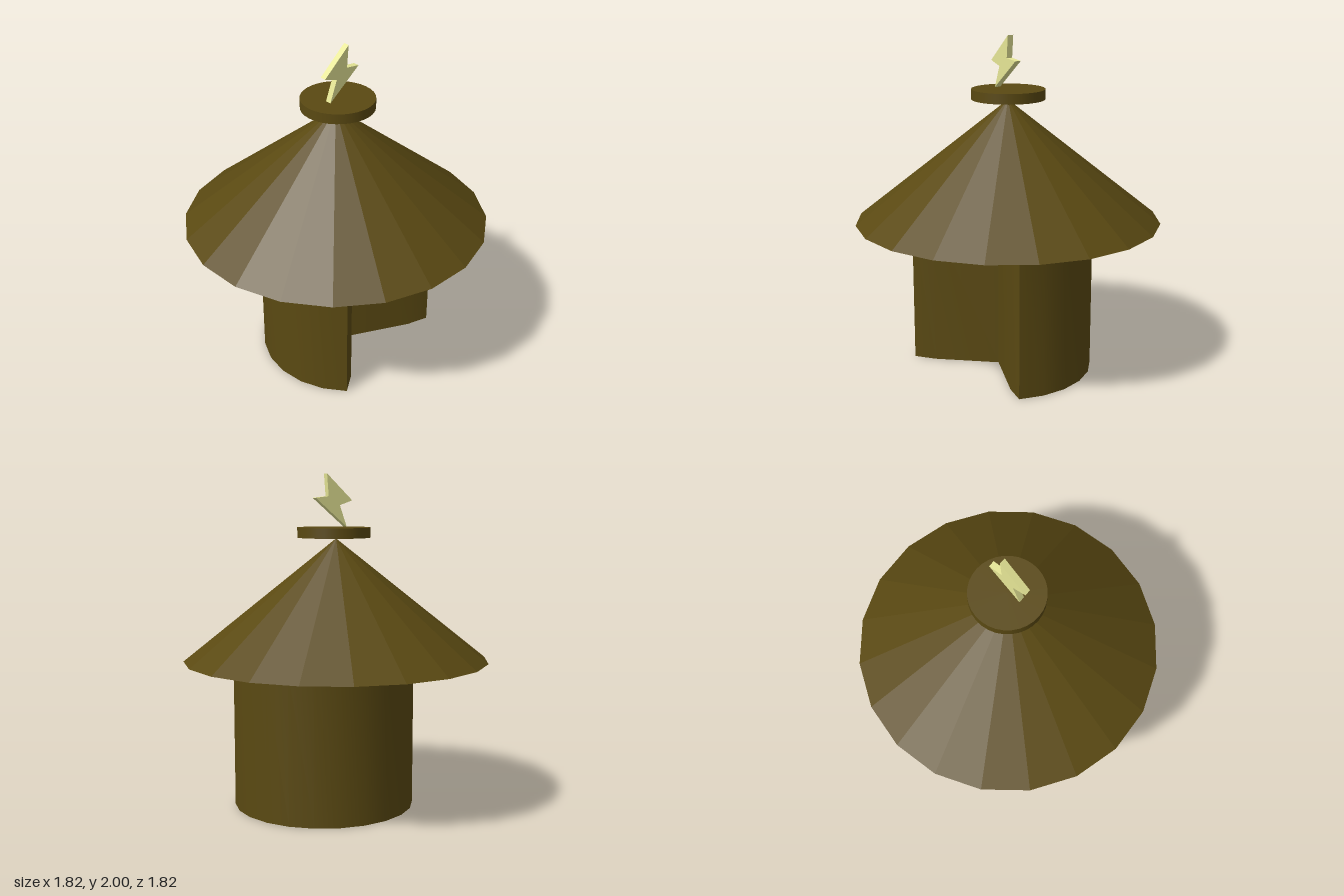
import * as THREE from 'three';
import { toCreasedNormals } from 'three/addons/utils/BufferGeometryUtils.js';

const brown = new THREE.MeshStandardMaterial({ color: 0x5a4912 });
const yellow = new THREE.MeshStandardMaterial({ color: 0xe6e696 });

function addPart(group, name, geometry, material, x = 0, y = 0, z = 0) {
  const mesh = new THREE.Mesh(geometry, material);
  mesh.name = name;
  mesh.position.set(x, y, z);
  group.add(mesh);
  return mesh;
}

// Round wall with a wedge-shaped entrance cut out at the front
function wallGeometry() {
  const radius = 0.545, start = -0.616, end = Math.PI + 0.616, steps = 16;
  const points = [];
  for (let i = 0; i <= steps; i++) {
    const a = start + ((end - start) * i) / steps;
    points.push(new THREE.Vector2(radius * Math.cos(a), radius * Math.sin(a)));
  }
  // entrance sides, meeting near the middle
  for (const [x, y] of [[-0.32, -0.255], [0, -0.025], [0.32, -0.255]]) points.push(new THREE.Vector2(x, y));
  const geometry = new THREE.ExtrudeGeometry(new THREE.Shape(points), { depth: 0.895, bevelEnabled: false });
  geometry.rotateX(-Math.PI / 2);
  return toCreasedNormals(geometry, 0.4);
}

// Thin zigzag bolt, centred on its thickness
function boltGeometry() {
  const outline = [[0.054, 2], [-0.118, 1.843], [-0.033, 1.815], [-0.08, 1.687], [0.13, 1.858], [0.043, 1.868]];
  const shape = new THREE.Shape(outline.map(([x, y]) => new THREE.Vector2(x, y)));
  const depth = 0.038;
  return new THREE.ExtrudeGeometry(shape, { depth, bevelEnabled: false }).translate(0, 0, -depth / 2);
}

export function createModel() {
  const model = new THREE.Group();
  model.name = 'hut';

  addPart(model, 'wall', wallGeometry(), brown, 0.025, 0, 0.085);

  // Faceted conical roof with a closed underside
  const roofMaterial = brown.clone();
  roofMaterial.flatShading = true;
  addPart(model, 'roof', new THREE.ConeGeometry(0.912, 0.725, 20), roofMaterial, 0, 1.2575, 0);

  // Disc floating just above the roof tip
  addPart(model, 'roofDisc', new THREE.CylinderGeometry(0.218, 0.218, 0.06, 32), brown, 0.01, 1.655, 0.008);

  // Bolt turned slightly about the vertical
  const bolt = addPart(model, 'bolt', boltGeometry(), yellow, 0, 0, 0.023);
  bolt.rotation.y = -0.207;

  return model;
}
